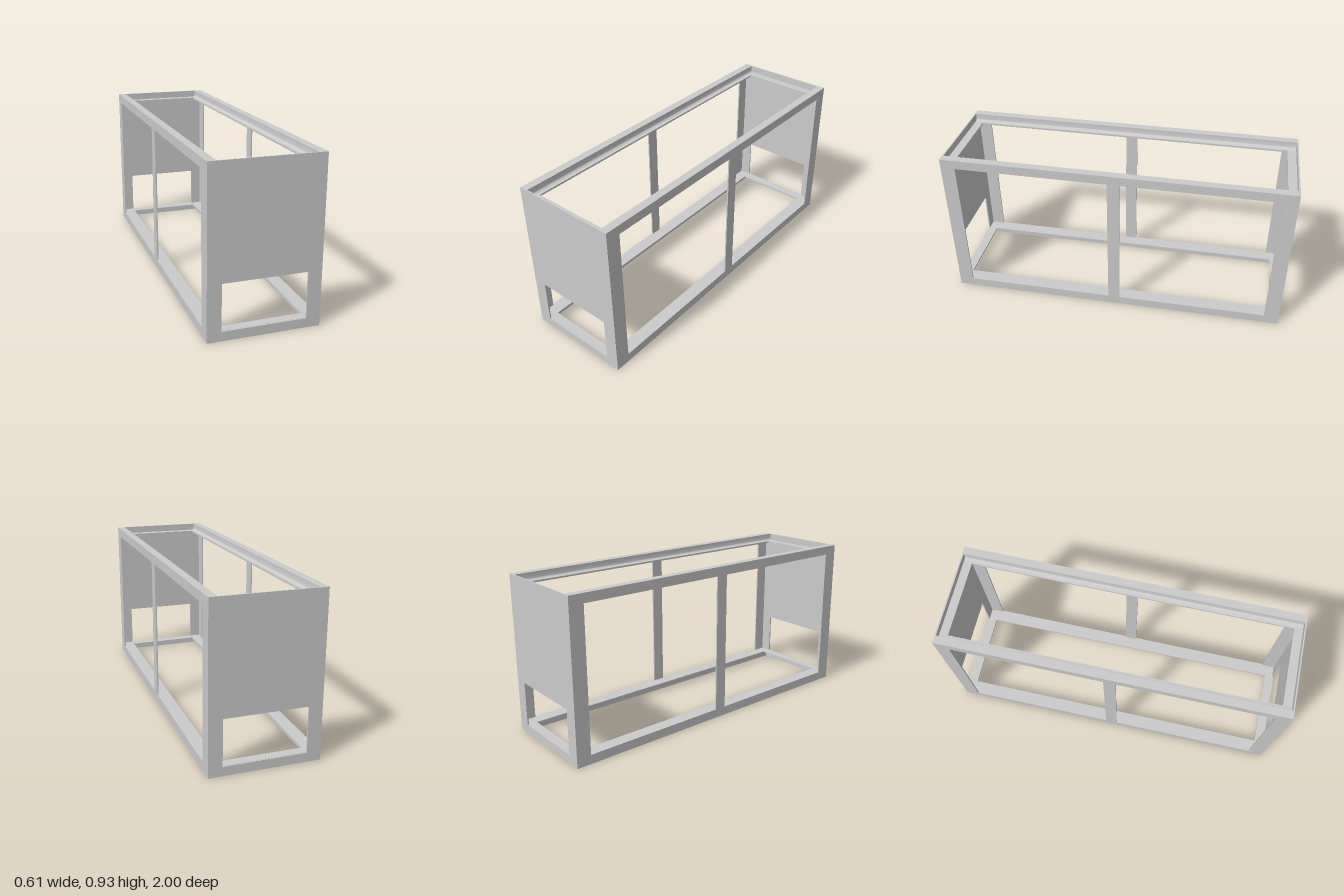
import * as THREE from 'three';
import { toCreasedNormals } from 'three/addons/utils/BufferGeometryUtils.js';

const W = 0.307, H = 0.925, L = 1;      // half width, height, half length
const T = 0.008;                        // sheet thickness
const RAIL = 0.053;                     // rail height
const WEB = 0.26, LIP = 0.23;           // inner faces of rail and of ledge
const LEDGE = 0.01;                     // ledge thickness

const material = new THREE.MeshStandardMaterial({ color: 0xcccccc });

export function createModel() {
  const model = new THREE.Group();
  const add = (name, geometry, x = 0, y = 0, z = 0) => {
    const mesh = new THREE.Mesh(geometry, material);
    mesh.name = name;
    mesh.position.set(x, y, z);
    model.add(mesh);
    return mesh;
  };
  const box = (name, w, h, d, x, y, z) => add(name, new THREE.BoxGeometry(w, h, d), x, y, z);

  // End panels with a low rectangular opening
  const panel = new THREE.Shape([[-W, 0], [W, 0], [W, H], [-W, H]].map(p => new THREE.Vector2(...p)));
  panel.holes.push(new THREE.Path(
    [[-0.23, 0.052], [-0.23, 0.31], [0.23, 0.31], [0.23, 0.052]].map(p => new THREE.Vector2(...p))));
  const panelGeometry = new THREE.ExtrudeGeometry(panel, { depth: T, bevelEnabled: false });
  add('frontPanel', panelGeometry, 0, 0, L - T);
  add('backPanel', panelGeometry, 0, 0, -L);

  // Stepped long rail: hollow-looking box section, coved into a thin inner ledge
  const railGeometry = (side, top) => {
    const r = 0.015, y = v => (top ? H - RAIL + v : RAIL - v);
    const pts = [[W, 0], [W, RAIL], [WEB, RAIL], [WEB, LEDGE + r]];
    for (let i = 1; i <= 6; i++) {
      const a = (i / 6) * Math.PI / 2;
      pts.push([WEB - r + r * Math.cos(a), LEDGE + r - r * Math.sin(a)]);
    }
    pts.push([LIP, LEDGE], [LIP, 0]);
    const shape = new THREE.Shape(pts.map(([px, py]) => new THREE.Vector2(side * px, y(py))));
    const g = new THREE.ExtrudeGeometry(shape, { depth: 2 * (L - T), bevelEnabled: false });
    return toCreasedNormals(g.translate(0, 0, -(L - T)), 0.5);
  };

  for (const [level, top] of [['top', true], ['bottom', false]]) {
    for (const side of [1, -1]) add(level + (side > 0 ? 'LeftRail' : 'RightRail'), railGeometry(side, top));

    // Thin ledges across the two ends
    const y = top ? H - RAIL + LEDGE / 2 : RAIL - LEDGE / 2;
    for (const end of [1, -1]) {
      box(level + (end > 0 ? 'FrontLedge' : 'BackLedge'), 2 * LIP, LEDGE, 0.05, 0, y, end * (L - T - 0.025));
    }
  }

  // Flat side posts: one at each corner and one in the middle
  const postHeight = H - 2 * RAIL;
  for (const side of [1, -1]) {
    const x = side * (W - T / 2), prefix = side > 0 ? 'left' : 'right';
    box(prefix + 'MiddlePost', T, postHeight, 0.07, x, H / 2, 0);
    for (const end of [1, -1]) {
      const width = 0.085 - T;
      box(prefix + (end > 0 ? 'FrontPost' : 'BackPost'), T, postHeight, width, x, H / 2, end * (L - T - width / 2));
    }
  }
  return model;
}
